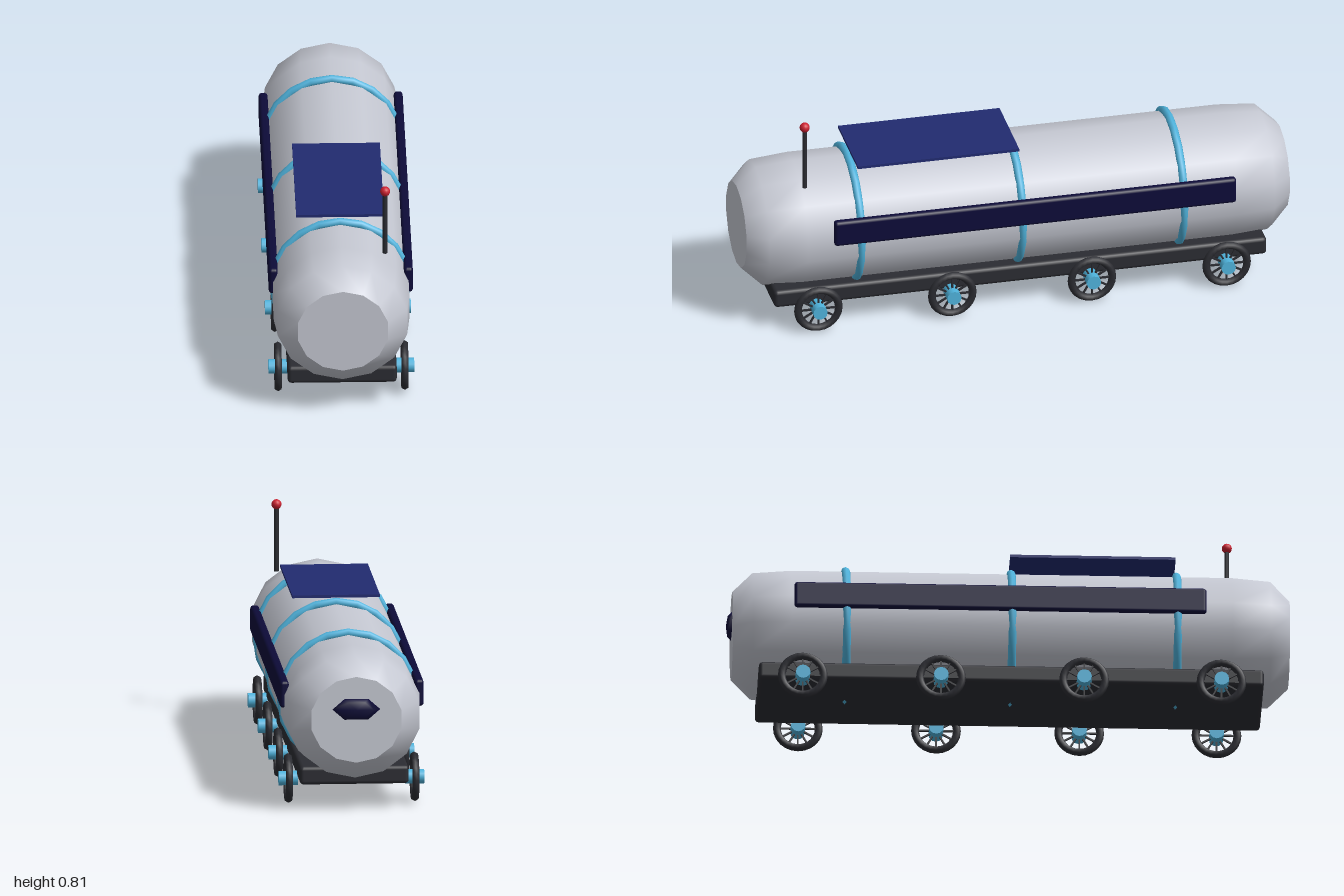
import * as THREE from 'three';
import { RoundedBoxGeometry } from 'three/addons/geometries/RoundedBoxGeometry.js';

export function createModel() {
  const model = new THREE.Group();
  model.name = 'tankCarriage';

  const material = (name, color) => {
    const m = new THREE.MeshStandardMaterial({ color });
    m.name = name;
    return m;
  };
  const silver = material('silver', 0xc5c8d2);
  const blue = material('skyBlue', 0x4fb3dc);
  const navy = material('darkNavy', 0x0d0b38);
  const panelBlue = material('panelBlue', 0x212b70);
  const charcoal = material('charcoal', 0x2b2c32);
  const red = material('signalRed', 0xcc2030);

  const add = (name, geometry, mat, x = 0, y = 0, z = 0, parent = model) => {
    const mesh = new THREE.Mesh(geometry, mat);
    mesh.name = name;
    mesh.position.set(x, y, z);
    parent.add(mesh);
    return mesh;
  };

  // Tank: slightly wide 14-sided shell with chamfered ends and flat caps
  const axisY = 0.345;
  const midZ = 0.01;
  const tank = new THREE.Group();
  tank.name = 'tank';
  tank.position.set(0, axisY, midZ);
  tank.scale.x = 1.06;
  model.add(tank);
  const profile = [
    [0.155, -0.99], [0.222, -0.92], [0.233, -0.783],
    [0.233, 0.783], [0.222, 0.92], [0.155, 0.99],
  ].map(([r, z]) => new THREE.Vector2(r, z));
  add('tankShell', new THREE.LatheGeometry(profile, 14).rotateX(Math.PI / 2), silver, 0, 0, 0, tank);
  for (const s of [1, -1]) {
    const cap = new THREE.CircleGeometry(0.155, 14, Math.PI / 2);
    if (s < 0) cap.rotateY(Math.PI);
    add(s > 0 ? 'frontCap' : 'rearCap', cap, silver, 0, 0, s * 0.99, tank);
  }

  // Bands around the tank
  for (const z of [-0.588, 0, 0.588]) {
    add('band', new THREE.TorusGeometry(0.239, 0.015, 8, 20), blue, 0, axisY, midZ + z);
  }

  // Side strips
  for (const s of [1, -1]) {
    add('sideStrip', new RoundedBoxGeometry(0.032, 0.097, 1.465, 2, 0.012), navy, s * 0.24, 0.398, -0.033);
  }

  // Six-sided rear lens, a shallow dome
  const lens = new THREE.SphereGeometry(1, 6, 4).rotateX(Math.PI / 2).scale(0.085, 0.043, 0.02);
  add('rearLens', lens, navy, 0, 0.383, -0.98);

  // Roof panel
  add('roofPanel', new THREE.BoxGeometry(0.312, 0.01, 0.588), panelBlue, 0, 0.605, 0.299);

  // Antenna with a ball tip
  add('antennaRod', new THREE.CylinderGeometry(0.0086, 0.0086, 0.24, 8), charcoal, 0.155, 0.67, 0.787);
  add('antennaTip', new THREE.SphereGeometry(0.018, 14, 10), red, 0.155, 0.792, 0.787);

  // Chassis
  add('chassis', new RoundedBoxGeometry(0.388, 0.066, 1.795, 2, 0.014), charcoal, 0, 0.127, 0.008);

  // Spoked wheels
  const tyreGeometry = new THREE.TorusGeometry(0.0745, 0.014, 6, 24).rotateY(Math.PI / 2);
  const hubGeometry = new THREE.CylinderGeometry(0.026, 0.026, 0.068, 12).rotateZ(Math.PI / 2);
  const spokeGeometry = new THREE.BoxGeometry(0.007, 0.05, 0.006).translate(0, 0.042, 0);
  const spokeCount = 12;
  for (const s of [1, -1]) {
    for (const z of [0.753, 0.265, -0.244, -0.735]) {
      const wheel = new THREE.Group();
      wheel.name = 'wheel';
      wheel.position.set(s * 0.225, 0.0915, z);
      model.add(wheel);
      add('tyre', tyreGeometry, charcoal, 0, 0, 0, wheel);
      add('hub', hubGeometry, blue, 0, 0, 0, wheel);
      for (let i = 0; i < spokeCount; i++) {
        add('spoke', spokeGeometry, charcoal, 0, 0, 0, wheel).rotation.x = (i / spokeCount) * Math.PI * 2;
      }
    }
  }

  return model;
}
